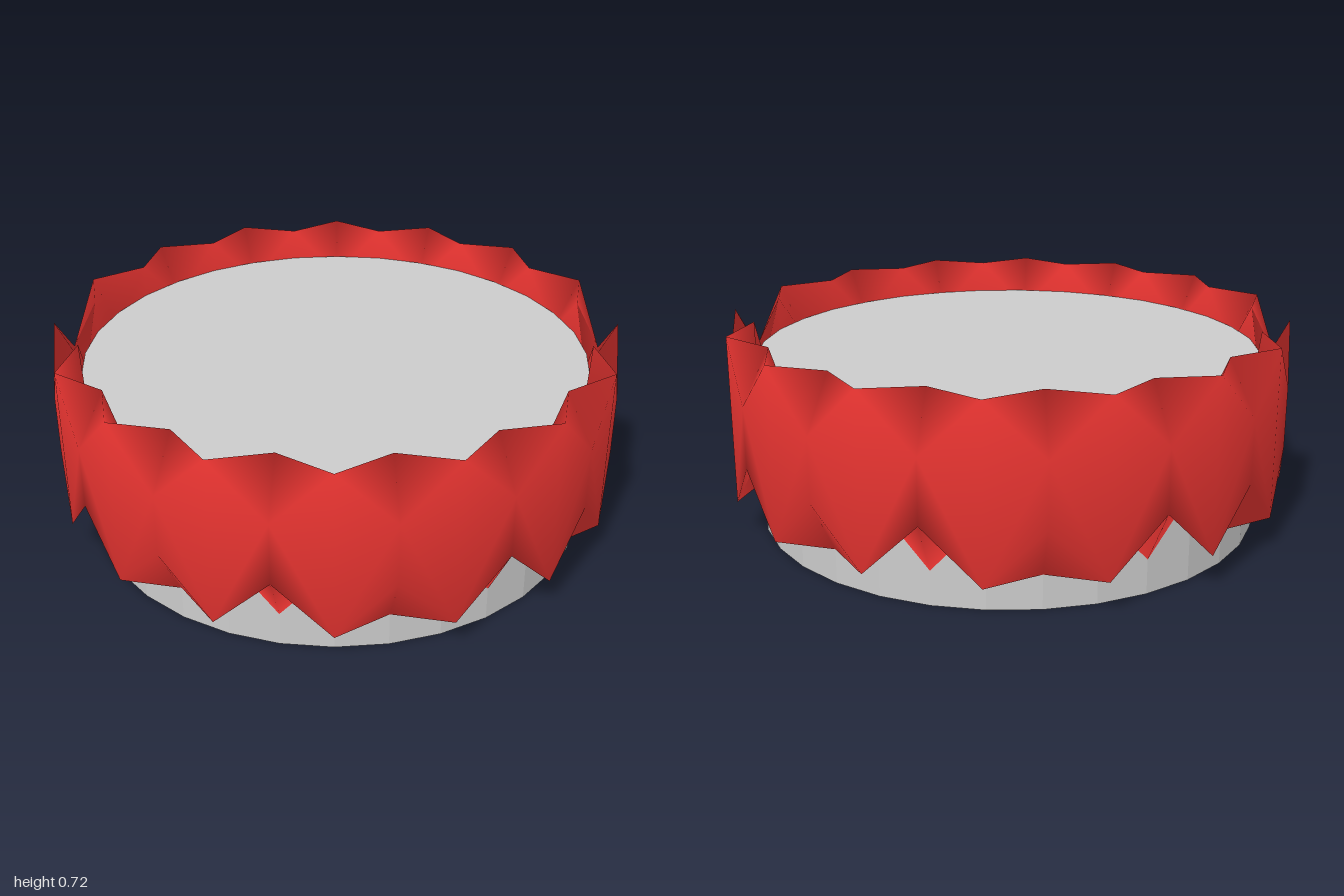
import * as THREE from 'three';

const SIDES = 32;
const OUTER = 1, INNER = 0.9;
const TIP = 0.3, NOTCH = 0.11, MID = 0.42; // half heights of the jagged edge

// Closed ring with zigzag rims: outer tips on even columns, inner tips on odd ones.
function jaggedRing() {
  const pos = [], index = [];
  // per column: 0 outer low, 1 outer high, 2 inner low, 3 inner high
  for (let c = 0; c < SIDES; c++) {
    const a = (c / SIDES) * Math.PI * 2;
    const even = c % 2 === 0;
    for (const [r, tip] of [[OUTER, even], [INNER, !even]]) {
      const h = tip ? TIP : NOTCH;
      for (const s of [-1, 1]) pos.push(Math.sin(a) * r, MID + s * h, Math.cos(a) * r);
    }
  }
  // quad split along p-r, or along q-s when flipped
  const quad = (p, q, r, s, flip) => flip
    ? index.push(p, q, s, q, r, s)
    : index.push(p, q, r, p, r, s);

  for (let c = 0; c < SIDES; c++) {
    const a = c * 4, b = ((c + 1) % SIDES) * 4;
    const odd = c % 2 === 1;
    quad(a, b, b + 1, a + 1, odd);          // outer wall
    quad(b + 2, a + 2, a + 3, b + 3, odd);  // inner wall
    // rims fold up between the tips, or down into a valley
    const topValley = c % 16 === 3 || c % 16 === 4;
    const lowValley = (c & 2) !== 0;
    quad(a + 1, b + 1, b + 3, a + 3, odd !== topValley);
    quad(b, a, a + 2, b + 2, odd === lowValley);
  }
  const geo = new THREE.BufferGeometry();
  geo.setAttribute('position', new THREE.Float32BufferAttribute(pos, 3));
  geo.setIndex(index);
  geo.computeVertexNormals();
  return geo;
}

export function createModel() {
  const model = new THREE.Group();
  model.name = 'drumWithJaggedRing';

  // Plain faceted core
  const core = new THREE.Mesh(
    new THREE.CylinderGeometry(INNER, INNER, 0.6, SIDES),
    new THREE.MeshStandardMaterial({ color: 0xcccccc, flatShading: true })
  );
  core.name = 'core';
  core.position.y = 0.3;

  // Jagged collar around the core
  const collar = new THREE.Mesh(
    jaggedRing(),
    new THREE.MeshStandardMaterial({ color: 0xe53330 })
  );
  collar.name = 'jaggedCollar';

  model.add(core, collar);
  return model;
}
